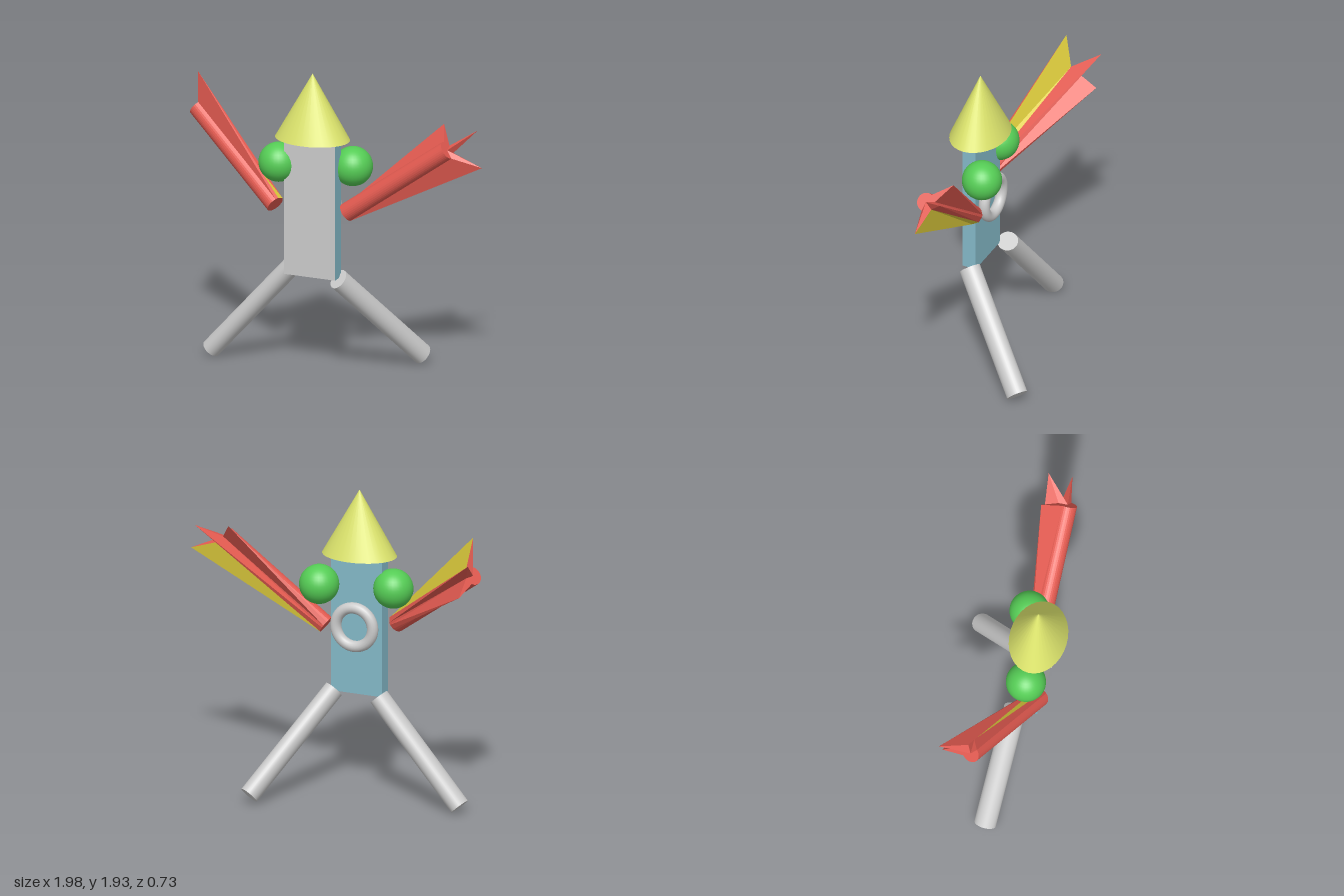
import * as THREE from 'three';

const mat = (color, extra = {}) => new THREE.MeshStandardMaterial({ color, ...extra });
const grey = mat(0xcccccc);
const blue = mat(0x84b9c8);
const green = mat(0x55cc55);
const lime = mat(0xdbe36c);
const red = mat(0xe25a50, { flatShading: true, side: THREE.DoubleSide });
const yellow = mat(0xdccb3c, { flatShading: true, side: THREE.DoubleSide });

const V = (x, y, z) => new THREE.Vector3(x, y, z);

function add(parent, name, geometry, material, pos = [0, 0, 0]) {
  const mesh = new THREE.Mesh(geometry, material);
  mesh.name = name;
  mesh.position.set(...pos);
  parent.add(mesh);
  return mesh;
}

// Slightly oval rod between two points
function rod(parent, name, a, b) {
  const mesh = add(parent, name, new THREE.CylinderGeometry(1, 1, a.distanceTo(b), 32), grey);
  mesh.position.lerpVectors(a, b, 0.5);
  mesh.quaternion.setFromUnitVectors(V(0, 1, 0), a.clone().sub(b).normalize());
  mesh.scale.set(0.06, 1, 0.068);
}

function trianglesToGeometry(points) {
  const g = new THREE.BufferGeometry().setFromPoints(points);
  g.computeVertexNormals();
  return g;
}

// Arm: a round tube along +y whose rear edge flares into three pointed fins
const ARM_LENGTH = 0.825, ARM_RADIUS = 0.058;
function armGeometries() {
  const bottom = [], top = [];
  const vertex = (deg, tip) => {
    const a = THREE.MathUtils.degToRad(deg);
    const p = V(ARM_RADIUS * Math.sin(a), 0, ARM_RADIUS * Math.cos(a));
    bottom.push(p);
    top.push(tip || p.clone().setY(ARM_LENGTH));
  };
  for (let deg = -115; deg <= 77; deg += 12) vertex(deg);
  vertex(97, V(0.205, ARM_LENGTH + 0.12, -0.03));
  const panel = bottom.length - 1; // the yellow strip starts at this fin
  vertex(143);
  vertex(180, V(0, ARM_LENGTH + 0.165, -0.157));
  vertex(195);
  vertex(225, V(-0.143, ARM_LENGTH, -0.145));

  const redTris = [], yellowTris = [];
  const foot = V(0, 0, 0), end = V(0, ARM_LENGTH, 0);
  bottom.forEach((b0, i) => {
    const j = (i + 1) % bottom.length;
    const b1 = bottom[j], t0 = top[i], t1 = top[j];
    (i === panel ? yellowTris : redTris).push(b0, b1, t1, b0, t1, t0);
    redTris.push(foot, b1, b0, end, t0, t1);
  });
  return [trianglesToGeometry(redTris), trianglesToGeometry(yellowTris)];
}

// Place an arm by its lower end, its direction and the way its round side faces
function arm(parent, name, [redGeo, yellowGeo], start, dir, round) {
  const y = dir.normalize();
  const x = y.clone().cross(round).normalize();
  const z = x.clone().cross(y);
  const group = new THREE.Group();
  group.name = name;
  add(group, 'armFins', redGeo, red);
  add(group, 'armPanel', yellowGeo, yellow);
  group.quaternion.setFromRotationMatrix(new THREE.Matrix4().makeBasis(x, y, z));
  group.position.copy(start);
  parent.add(group);
}

export function createModel() {
  const model = new THREE.Group();
  model.name = 'figure';

  // Flat body, blue with a grey front
  add(model, 'body', new THREE.BoxGeometry(0.34, 0.88, 0.09),
    [blue, blue, blue, blue, grey, blue], [-0.095, 1.09, 0.185]);

  // Oval pointed hat
  const hat = add(model, 'hat', new THREE.ConeGeometry(1, 0.415, 32), lime, [-0.092, 1.737, 0.19]);
  hat.scale.set(0.238, 1, 0.177);

  // Shoulder balls
  const ball = new THREE.SphereGeometry(0.123, 32, 20);
  add(model, 'rightShoulder', ball, green, [-0.325, 1.345, 0.175]);
  add(model, 'leftShoulder', ball, green, [0.125, 1.345, 0.073]);

  // Ring on the back
  add(model, 'backRing', new THREE.TorusGeometry(0.123, 0.035, 16, 40), grey, [-0.095, 1.087, 0.105]);

  // Legs
  rod(model, 'rightLeg', V(-0.267, 0.668, 0.09), V(-0.823, 0.05, 0.055));
  rod(model, 'leftLeg', V(0.075, 0.645, 0.18), V(0.42, 0.064, -0.31));

  // Arms
  const armGeo = armGeometries();
  arm(model, 'leftArm', armGeo, V(0.11, 1.065, 0.138), V(0.81, 0.586, -0.005), V(0, 0, 1));
  arm(model, 'rightArm', armGeo, V(-0.31, 1.1, 0.26), V(-0.762, 0.56, -0.32), V(-0.487, -0.184, 0.855));

  return model;
}
